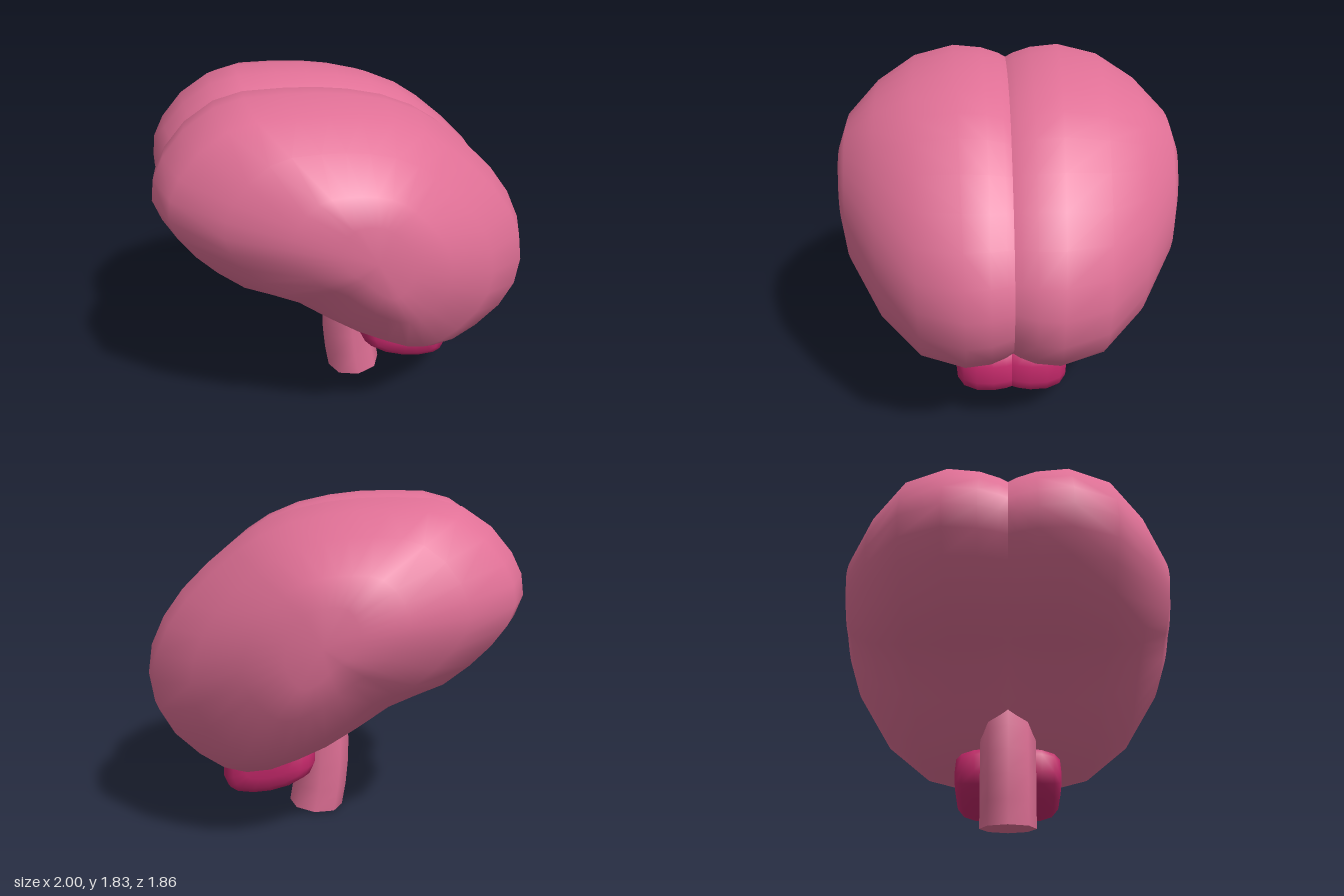
import * as THREE from 'three';

const pink = new THREE.MeshStandardMaterial({ color: 0xe07096 });
const magenta = new THREE.MeshStandardMaterial({ color: 0xc4286a });

// One rounded lobe: a side outline (clockwise in XY) scaled about a centre on successive z layers.
// layers: [z, scaleX, scaleY, shiftX, shiftY]; side = +1 or -1 mirrors it across z = 0.
function lobe(outline, [cx, cy], layers, taper, side) {
  const n = outline.length, pos = [], index = [];
  const tri = (a, b, c) => (side > 0 ? index.push(a, b, c) : index.push(a, c, b));
  for (const [z, sx, sy, dx, dy] of layers) {
    for (const [px, py] of outline) {
      const x = cx + dx + (px - cx) * sx;
      const y = cy + dy + (py - cy) * sy;
      pos.push(x, y, side * (z - taper * x * Math.min(1, z / 0.28)));
    }
  }
  for (let i = 0; i < layers.length - 1; i++) {
    for (let j = 0; j < n; j++) {
      const a = i * n + j, b = i * n + (j + 1) % n;
      tri(a, a + n, b);
      tri(b, a + n, b + n);
    }
  }
  // outer cap
  const last = (layers.length - 1) * n, [z, , , dx, dy] = layers[layers.length - 1];
  pos.push(cx + dx, cy + dy, side * z);
  for (let j = 0; j < n; j++) tri(last + n, last + (j + 1) % n, last + j);

  const geo = new THREE.BufferGeometry();
  geo.setAttribute('position', new THREE.Float32BufferAttribute(pos, 3));
  geo.setIndex(index);
  geo.computeVertexNormals();
  return geo;
}

const cerebrumOutline = [
  [-1, 1.34], [-0.985, 1.45], [-0.93, 1.56], [-0.82, 1.69], [-0.67, 1.79], [-0.52, 1.83],
  [-0.32, 1.835], [-0.15, 1.83], [0.02, 1.81], [0.2, 1.77], [0.37, 1.7], [0.5, 1.615],
  [0.65, 1.49], [0.79, 1.35], [0.9, 1.2], [0.975, 1.04], [1, 0.88], [0.975, 0.72],
  [0.89, 0.58], [0.75, 0.46], [0.61, 0.38], [0.48, 0.355], [0.34, 0.375], [0.18, 0.44],
  [0.02, 0.52], [-0.16, 0.64], [-0.33, 0.765], [-0.48, 0.835], [-0.63, 0.9], [-0.77, 1.01],
  [-0.88, 1.12], [-0.96, 1.23],
];
const cerebrumLayers = [
  [0, 0.95, 0.91, 0, 0], [0.04, 0.965, 0.94, 0, 0], [0.13, 0.99, 0.98, 0, 0],
  [0.28, 1, 1, 0, 0], [0.505, 0.92, 0.935, 0, 0], [0.71, 0.675, 0.76, 0.005, 0.02],
  [0.875, 0.39, 0.475, 0.01, 0.08], [0.923, 0.175, 0.265, 0.02, 0.1],
];

const cerebellumOutline = [
  [0.09, 0.34], [0.095, 0.44], [0.15, 0.51], [0.3, 0.53], [0.48, 0.5], [0.58, 0.44],
  [0.615, 0.36], [0.62, 0.26], [0.595, 0.2], [0.55, 0.173], [0.45, 0.165], [0.34, 0.178],
  [0.22, 0.215], [0.12, 0.275],
];
const cerebellumLayers = [
  [0, 0.9, 0.95, 0, 0], [0.03, 0.95, 0.97, 0, 0], [0.1, 1, 1, 0, 0], [0.19, 0.98, 0.99, 0, 0],
  [0.26, 0.88, 0.89, 0, 0], [0.295, 0.72, 0.68, 0, 0], [0.305, 0.45, 0.35, 0, 0],
];

// Brain stem: a cylinder bowed towards -x, with a slightly tilted foot
function stemGeometry() {
  const height = 0.8;
  const geo = new THREE.CylinderGeometry(0.155, 0.155, height, 8, 6);
  const p = geo.attributes.position;
  for (let i = 0; i < p.count; i++) {
    const x = p.getX(i), y = p.getY(i) + height / 2, t = y / height;
    const bow = 0.095 - 0.16 * t + 0.17 * t * t;
    p.setXYZ(i, x + bow, y + 0.015 + x * 0.09 * (1 - t), p.getZ(i));
  }
  geo.computeVertexNormals();
  // share normals over the seam of the side wall
  const nrm = geo.attributes.normal;
  for (let r = 0; r <= 6; r++) {
    const a = r * 9, b = a + 8;
    const v = new THREE.Vector3().fromBufferAttribute(nrm, a)
      .add(new THREE.Vector3().fromBufferAttribute(nrm, b)).normalize();
    nrm.setXYZ(a, v.x, v.y, v.z);
    nrm.setXYZ(b, v.x, v.y, v.z);
  }
  return geo;
}

export function createModel() {
  const model = new THREE.Group();
  model.name = 'brain';
  const add = (name, geo, material) => {
    const mesh = new THREE.Mesh(geo, material);
    mesh.name = name;
    model.add(mesh);
  };

  // mirrored halves
  for (const [side, label] of [[1, 'front'], [-1, 'back']]) {
    add(label + 'Hemisphere', lobe(cerebrumOutline, [0, 1.095], cerebrumLayers, 0.045, side), pink);
    add(label + 'CerebellumLobe', lobe(cerebellumOutline, [0.355, 0.35], cerebellumLayers, 0, side), magenta);
  }
  add('brainStem', stemGeometry(), pink);
  return model;
}
